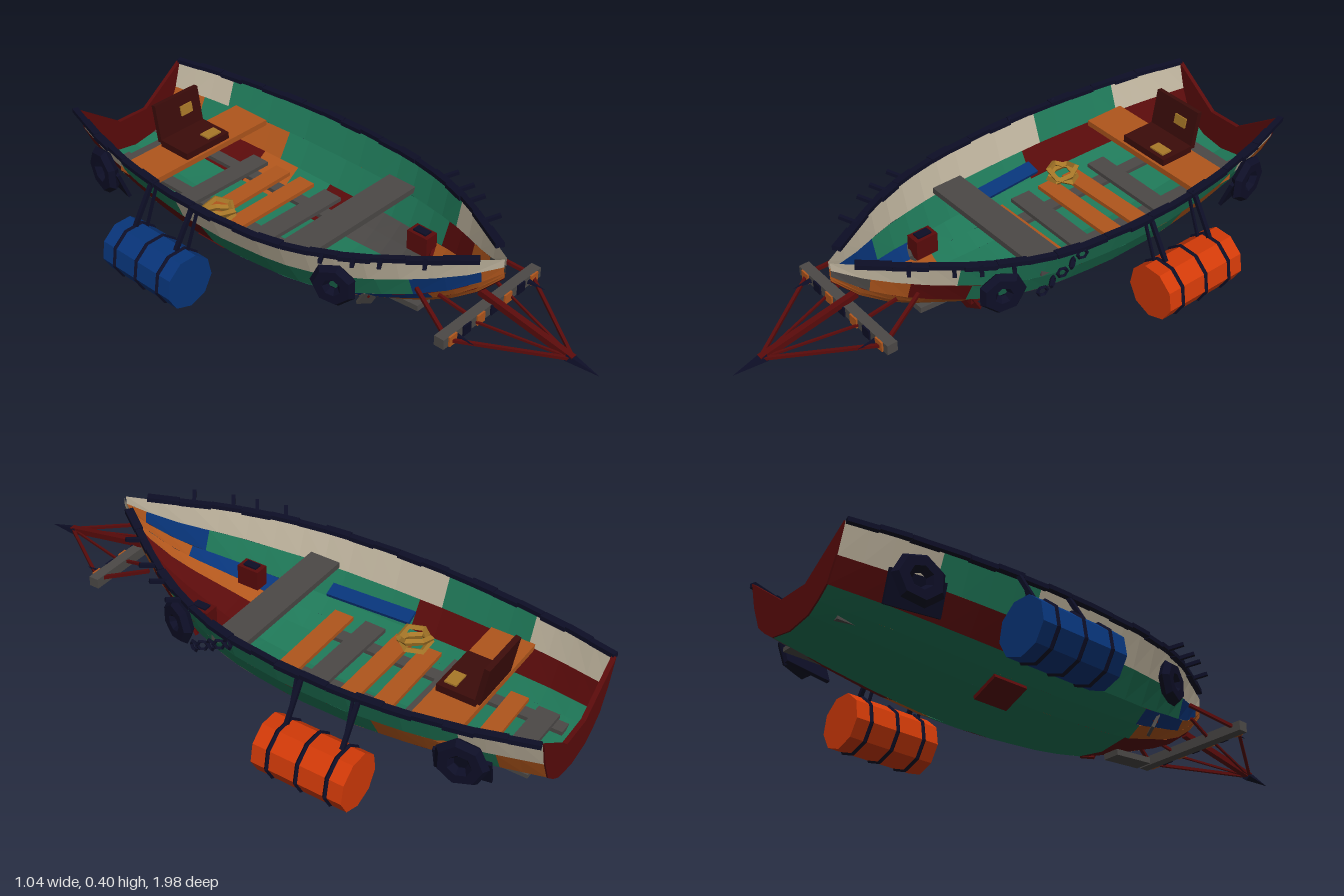
import * as THREE from 'three';

const mat = (name, color) => new THREE.MeshStandardMaterial({ name, color, flatShading: true, side: THREE.DoubleSide });
const M = {
  green: mat('green paint', 0x1f7858), wood: mat('orange wood', 0xb0561c), red: mat('dark red paint', 0x5a0b0b),
  navy: mat('navy rubber', 0x0d0e26), blue: mat('blue paint', 0x08357a), orange: mat('barrel orange', 0xd23a08),
  grey: mat('weathered grey', 0x4c4947), cream: mat('cream paint', 0xbfb49e), gold: mat('brass', 0xa87828),
  maroon: mat('dark maroon', 0x3c0c0a),
};
const V = (x, y, z) => new THREE.Vector3(x, y, z);

// Hull stations: z, half width, keel height, sheer height
const stations = [
  [-0.98, 0.23, 0.088, 0.33], [-0.8, 0.28, 0.07, 0.322], [-0.6, 0.317, 0.05, 0.316], [-0.4, 0.337, 0.036, 0.314],
  [-0.2, 0.337, 0.033, 0.316], [0, 0.32, 0.046, 0.322], [0.1, 0.3, 0.057, 0.328], [0.2, 0.268, 0.073, 0.338],
  [0.3, 0.227, 0.107, 0.35], [0.4, 0.172, 0.142, 0.365], [0.48, 0.12, 0.176, 0.376], [0.57, 0.062, 0.238, 0.388],
  [0.655, 0.005, 0.33, 0.402],
];
// Strake edges as fractions of half width and depth
const section = [[0, 0], [0.38, 0.06], [0.56, 0.17], [0.73, 0.31], [0.88, 0.62], [1, 1]];
const sheer = section.length - 1;

function station(z) {
  let i = 0;
  while (i < stations.length - 2 && z > stations[i + 1][0]) i++;
  const a = stations[i], b = stations[i + 1], t = (z - a[0]) / (b[0] - a[0]);
  return a.map((v, k) => v + (b[k] - v) * t);
}
function hullPoint(side, edge, z) {
  const [, w, keel, top] = station(z), [fx, fy] = section[edge];
  return V(side * fx * w, keel + fy * (top - keel), z);
}

function add(group, name, geo, material, pos = [0, 0, 0], rot = [0, 0, 0]) {
  const m = new THREE.Mesh(geo, material);
  m.name = name;
  m.position.set(...pos);
  m.rotation.set(...rot);
  group.add(m);
  return m;
}
const box = (g, name, material, size, pos, rot) => add(g, name, new THREE.BoxGeometry(...size), material, pos, rot);

// Square beam between two points
function beam(g, name, material, a, b, w, h = w) {
  const m = box(g, name, material, [w, h, a.distanceTo(b)], a.clone().add(b).multiplyScalar(0.5).toArray());
  m.lookAt(b);
  return m;
}

// One painted run of a strake between two z values
function strake(g, side, row, material, z0, z1) {
  const n = Math.max(1, Math.ceil((z1 - z0) / 0.09)), pos = [];
  for (let i = 0; i < n; i++) {
    const za = z0 + (z1 - z0) * i / n, zb = z0 + (z1 - z0) * (i + 1) / n;
    const a = hullPoint(side, row, za), b = hullPoint(side, row + 1, za);
    const c = hullPoint(side, row + 1, zb), d = hullPoint(side, row, zb);
    const quad = side > 0 ? [a, b, c, a, c, d] : [a, c, b, a, d, c];
    quad.forEach(p => pos.push(p.x, p.y, p.z));
  }
  const geo = new THREE.BufferGeometry();
  geo.setAttribute('position', new THREE.Float32BufferAttribute(pos, 3));
  geo.computeVertexNormals();
  add(g, 'hullStrake', geo, material);
}

// Paint runs from stern to bow: [colour, end z], keel strake first
const paint = {
  1: [
    [['green', 0.18], ['red', 0.655]],
    [['grey', -0.85], ['red', -0.55], ['wood', -0.4], ['green', -0.25], ['red', -0.07], ['grey', 0.25], ['wood', 0.655]],
    [['grey', -0.85], ['red', -0.55], ['wood', -0.4], ['green', -0.25], ['red', -0.07], ['grey', 0.25], ['wood', 0.655]],
    [['wood', -0.85], ['green', -0.72], ['wood', -0.48], ['green', 0.3], ['red', 0.46], ['wood', 0.56], ['grey', 0.655]],
    [['cream', -0.75], ['green', 0.34], ['cream', 0.655]],
  ],
  '-1': [
    [['green', 0.18], ['red', 0.655]],
    [['green', 0.2], ['wood', 0.655]],
    [['green', 0.18], ['blue', 0.46], ['wood', 0.655]],
    [['red', -0.3], ['green', 0.42], ['blue', 0.6], ['wood', 0.655]],
    [['cream', -0.7], ['green', -0.38], ['cream', 0.655]],
  ],
};

function buildHull(g) {
  for (const side of [1, -1]) {
    paint[side].forEach((runs, row) => {
      let z = -0.98;
      for (const [colour, end] of runs) { strake(g, side, row, M[colour], z, end); z = end; }
    });
    // Gunwale in short lengths, each a little uneven
    const n = 18;
    for (let i = 0; i < n; i++) {
      const p = k => hullPoint(side, sheer, -0.98 + 1.58 * k / n).add(V(side * 0.005, 0.003 * (i % 2), 0));
      beam(g, 'gunwale', M.navy, p(i), p(i + 1), 0.02 + 0.004 * (i % 3), 0.015);
    }
    // Spikes on the rail
    for (const z of [0.2, 0.29, 0.36, 0.47]) {
      const p = hullPoint(side, sheer, z);
      beam(g, 'railSpike', M.navy, p, p.clone().add(V(side * 0.05, 0.015, 0.035)), 0.012);
    }
  }
  // Transom with a dipped top edge
  const s = new THREE.Shape();
  const right = section.map((_, i) => hullPoint(1, i, -0.98));
  s.moveTo(right[0].x, right[0].y);
  right.slice(1).forEach(p => s.lineTo(p.x, p.y));
  s.lineTo(0.06, 0.208); s.lineTo(-0.06, 0.208);
  right.slice(1).reverse().forEach(p => s.lineTo(-p.x, p.y));
  add(g, 'transom', new THREE.ExtrudeGeometry(s, { depth: 0.015, bevelEnabled: false }), M.red, [0, 0, -0.985]);
}

function buildInterior(g) {
  // Floor slats: colour, centre z, depth, width
  for (const [c, z, d, w] of [['grey', -0.845, 0.07, 0.27], ['wood', -0.745, 0.06, 0.3], ['grey', -0.53, 0.07, 0.37],
    ['wood', -0.42, 0.065, 0.38], ['wood', -0.315, 0.065, 0.39], ['grey', -0.2, 0.075, 0.39], ['wood', -0.09, 0.07, 0.38]])
    box(g, 'floorSlat', M[c], [w, 0.014, d], [0.006, 0.125, z], [0, 0.02 * Math.sin(z * 40), 0]);
  for (const x of [-0.1, 0.12]) box(g, 'floorStringer', M.grey, [0.045, 0.014, 0.85], [x, 0.11, -0.49]);
  box(g, 'sideBoard', M.blue, [0.05, 0.012, 0.3], [-0.235, 0.168, -0.155], [0, 0.06, -0.3]);
  box(g, 'middleThwart', M.grey, [0.54, 0.02, 0.11], [0.005, 0.245, 0.042]);
  box(g, 'sternSeat', M.wood, [0.53, 0.02, 0.15], [0, 0.225, -0.645]);
  // Open case on the stern seat
  box(g, 'caseBase', M.maroon, [0.19, 0.025, 0.13], [0, 0.247, -0.645]);
  box(g, 'caseLid', M.maroon, [0.19, 0.135, 0.018], [0, 0.315, -0.725], [-0.15, 0, 0]);
  box(g, 'caseBasePlate', M.gold, [0.06, 0.006, 0.04], [0.045, 0.262, -0.615]);
  box(g, 'caseLidPlate', M.gold, [0.05, 0.035, 0.006], [0.03, 0.325, -0.715], [-0.15, 0, 0]);
  // Brass ring coil
  for (const t of [-0.25, 0.3])
    add(g, 'brassCoil', new THREE.TorusGeometry(0.05, 0.011, 4, 6), M.gold, [-0.16, 0.165, -0.365], [Math.PI / 2 + t, t, 0]);
  // Small lockers by the bow
  for (const x of [-0.13, 0.14]) {
    box(g, 'bowLocker', M.red, [0.05, 0.07, 0.08], [x, 0.185, 0.24]);
    box(g, 'lockerTop', M.navy, [0.028, 0.006, 0.05], [x, 0.223, 0.24]);
  }
}

function buildSides(g) {
  for (const side of [1, -1]) {
    // Barrel slung over the side
    const barrel = new THREE.Group();
    barrel.name = side > 0 ? 'leftBarrel' : 'rightBarrel';
    barrel.position.set(side * 0.424, 0.1, -0.375);
    g.add(barrel);
    const drum = new THREE.CylinderGeometry(0.092, 0.092, 0.31, 9).rotateX(Math.PI / 2);
    add(barrel, 'drum', drum, side > 0 ? M.orange : M.blue);
    for (const z of [-0.1, 0, 0.1])
      add(barrel, 'drumBand', new THREE.TorusGeometry(0.091, 0.008, 4, 9), M.navy, [0, 0, z], [0, 0, -Math.PI / 2]);
    for (const z of [-0.47, -0.28]) {
      beam(g, 'barrelRope', M.navy, V(side * 0.335, 0.325, z), V(side * 0.42, 0.19, z), 0.013);
      beam(g, 'barrelRope', M.navy, V(side * 0.335, 0.32, z + 0.02), V(side * 0.385, 0.18, z + 0.015), 0.008);
    }
    // Tyre fenders with a small hub hole
    for (const [x, y, z, r, yaw] of [[0.26, 0.238, 0.235, 0.045, -0.36], [0.29, 0.205, -0.775, 0.053, 0.2]])
      add(g, 'tyreFender', new THREE.TorusGeometry(r, 0.031, 6, 7).scale(1, 1, 0.7), M.navy,
        [side * x, y, z], [0, Math.PI / 2 + side * yaw, 0]);
    box(g, 'fenderPad', M.navy, [0.012, 0.1, 0.17], [side * 0.266, 0.175, -0.77], [0, side * 0.2, -side * 0.35]);
  }
  // Chain hung on the left side
  for (let i = 0; i < 5; i++)
    add(g, 'chainLink', new THREE.TorusGeometry(0.016, 0.006, 4, 6), M.navy,
      [0.318 + 0.004 * i, 0.225 + 0.02 * i, 0.13 - 0.035 * i], [0, Math.PI / 2 + (i % 2 ? 0.5 : -0.3), 0]);
  // Loose repair planks and patches
  box(g, 'loosePlank', M.grey, [0.06, 0.02, 0.15], [0, 0.078, 0.295], [-0.08, 0, 0]);
  box(g, 'loosePlank', M.red, [0.1, 0.012, 0.12], [-0.15, 0.05, -0.37], [0, 0, -0.4]);
  for (const side of [1, -1])
    box(g, 'repairPatch', side > 0 ? M.red : M.grey, [0.05, 0.06, 0.01], [side * 0.146, 0.141, 0.268], [0.5, side * 0.5, 0]);
}

function buildRam(g) {
  // Bow spar, braces and point
  const tip = V(0, 0.182, 0.91);
  beam(g, 'bowSpar', M.red, V(0, 0.246, 0.575), tip, 0.02);
  const point = new THREE.ConeGeometry(0.018, 0.11, 5).rotateX(Math.PI / 2);
  add(g, 'sparPoint', point, M.navy, [0, 0.175, 0.945], [0.1, 0, 0]);
  box(g, 'crossBar', M.grey, [0.46, 0.034, 0.035], [0, 0.212, 0.61]);
  for (let i = 0; i < 7; i++)
    box(g, 'crossBarStripe', i % 2 ? M.navy : M.wood, [0.034, 0.034, 0.006], [-0.192 + i * 0.064, 0.212, 0.63]);
  for (const side of [1, -1]) {
    beam(g, 'outerBrace', M.red, V(side * 0.2, 0.21, 0.62), tip, 0.01);
    beam(g, 'innerBrace', M.red, V(side * 0.09, 0.21, 0.6), tip, 0.007);
    beam(g, 'hullBrace', M.red, V(side * 0.14, 0.27, 0.45), V(side * 0.2, 0.214, 0.61), 0.011);
    beam(g, 'hullBrace', M.red, V(side * 0.1, 0.25, 0.5), V(side * 0.08, 0.214, 0.61), 0.009);
    const spike = new THREE.ConeGeometry(0.01, 0.07, 5).rotateX(Math.PI / 2);
    add(g, 'barSpike', spike, M.navy, [side * 0.17, 0.21, 0.655]);
  }
}

export function createModel() {
  const model = new THREE.Group();
  model.name = 'patchworkBoat';
  const parts = { hull: buildHull, interior: buildInterior, sideGear: buildSides, bowRam: buildRam };
  for (const [name, build] of Object.entries(parts)) {
    const g = new THREE.Group();
    g.name = name;
    build(g);
    model.add(g);
  }
  return model;
}
